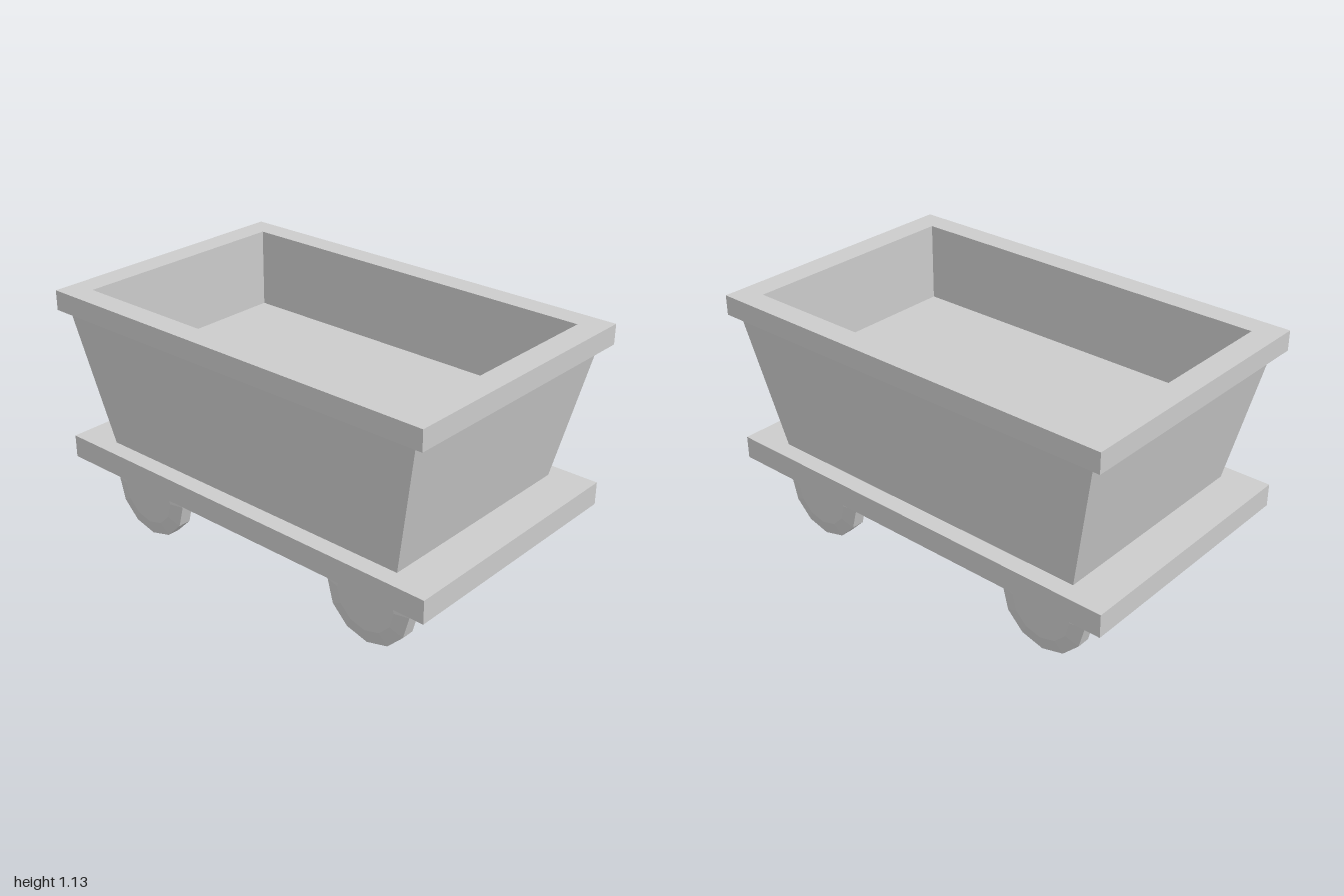
import * as THREE from 'three';

const material = new THREE.MeshStandardMaterial({ color: 0xcccccc, flatShading: true });

function part(name, geometry) {
  const mesh = new THREE.Mesh(geometry, material);
  mesh.name = name;
  return mesh;
}

// Skins a run of rectangles [halfX, y, halfZ]; optionally closes the last one facing up.
function rectLoft(sections, closeEnd = false) {
  const positions = [];
  const corners = ([x, y, z]) => [[x, y, z], [x, y, -z], [-x, y, -z], [-x, y, z]];
  const quad = (a, b, c, d) => positions.push(...a, ...b, ...c, ...a, ...c, ...d);
  const rings = sections.map(corners);
  for (let s = 0; s < rings.length - 1; s++) {
    const a = rings[s], b = rings[s + 1];
    for (let i = 0; i < 4; i++) {
      const j = (i + 1) % 4;
      quad(a[i], a[j], b[j], b[i]);
    }
  }
  if (closeEnd) quad(...rings[rings.length - 1]);
  const geometry = new THREE.BufferGeometry();
  geometry.setAttribute('position', new THREE.Float32BufferAttribute(positions, 3));
  geometry.computeVertexNormals();
  return geometry;
}

// Twelve-sided wheel with a shallow bevel on its outer (+z) face, resting on y = 0
function wheelGeometry() {
  const profile = [[0, 0.42], [0.21, 0.42], [0.21, 0.48], [0.145, 0.496], [0, 0.496]];
  const geometry = new THREE.LatheGeometry(profile.map(([r, h]) => new THREE.Vector2(r, h)), 12);
  geometry.rotateX(Math.PI / 2);
  geometry.translate(0, 0.21, 0);
  return geometry;
}

export function createModel() {
  const model = new THREE.Group();
  model.name = 'cart';

  // Base plate
  const plate = part('basePlate', new THREE.BoxGeometry(2, 0.105, 1.19));
  plate.position.y = 0.365;
  model.add(plate);

  // Flared body, overhanging rim and straight-sided hollow
  const bodyTop = [0.943, 1.04, 0.6];
  const rimInner = [0.88, 1.13, 0.523];
  model.add(part('body', rectLoft([[0.808, 0.417, 0.515], bodyTop])));
  model.add(part('rim', rectLoft([bodyTop, [0.994, 1.04, 0.63], [0.994, 1.13, 0.63], rimInner])));
  model.add(part('hollow', rectLoft([rimInner, [0.88, 0.765, 0.523]], true)));

  // Four wheels, bevels facing outward
  const geometry = wheelGeometry();
  for (const x of [-0.637, 0.637]) {
    for (const front of [true, false]) {
      const wheel = part(front ? 'frontWheel' : 'backWheel', geometry);
      wheel.position.x = x;
      if (!front) wheel.rotation.y = Math.PI;
      model.add(wheel);
    }
  }
  return model;
}
